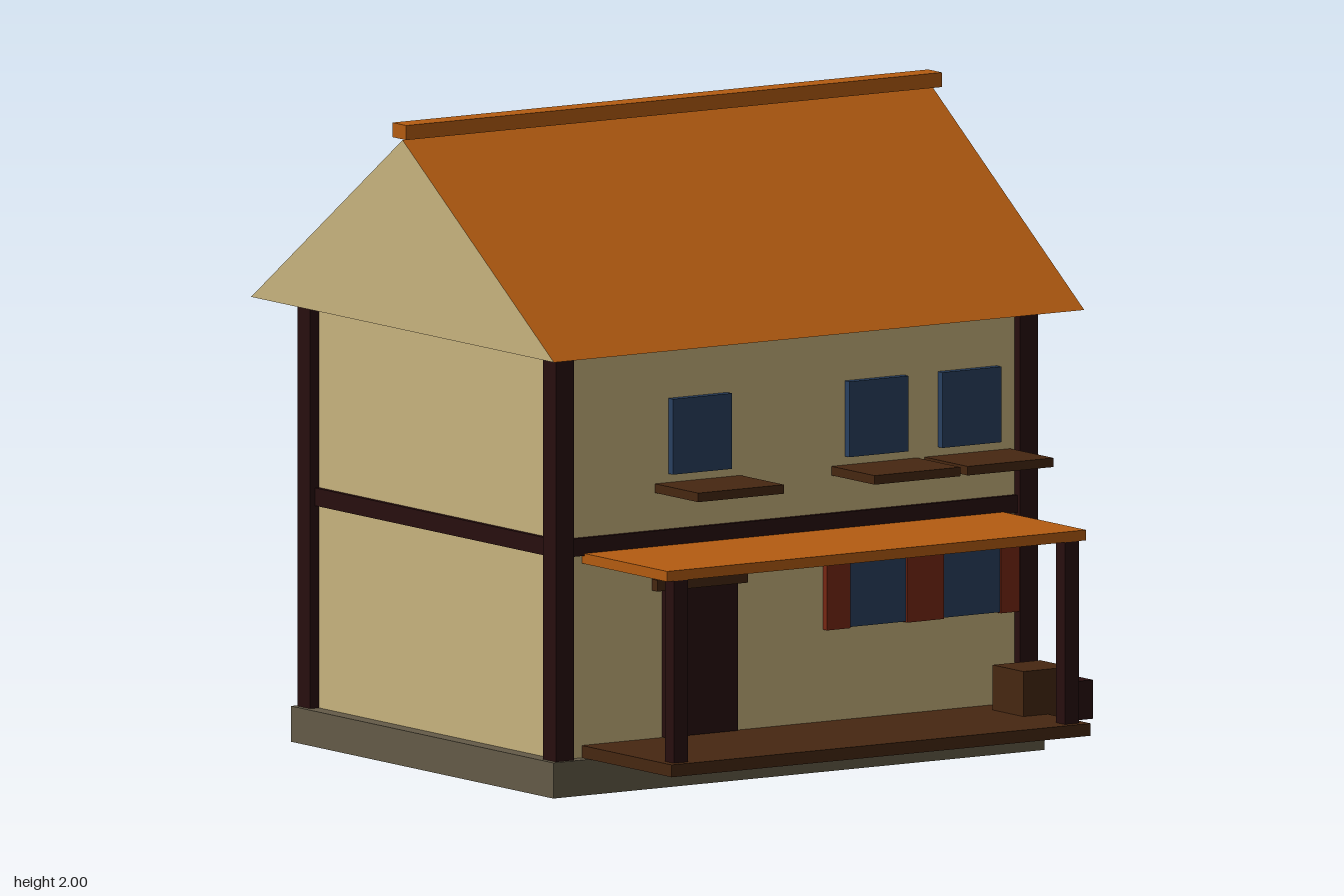
import * as THREE from 'three';

const mat = (name, color) => {
  const m = new THREE.MeshStandardMaterial({ color });
  m.name = name;
  return m;
};

export function createModel() {
  const house = new THREE.Group();
  house.name = 'house';
  const plaster = mat('plaster', 0xc8b47e);
  const tile = mat('roofTile', 0xb45c11);
  const timber = mat('darkTimber', 0x280f0f);
  const wood = mat('brownWood', 0x462711);
  const stone = mat('stone', 0x645b48);
  const glass = mat('glass', 0x294060);
  const shutterRed = mat('shutterRed', 0x782713);

  const add = (name, geometry, material) => {
    const mesh = new THREE.Mesh(geometry, material);
    mesh.name = name;
    house.add(mesh);
    return mesh;
  };
  // Box given by its limits on each axis
  const box = (name, material, [x0, x1], [y0, y1], [z0, z1]) => {
    const mesh = add(name, new THREE.BoxGeometry(x1 - x0, y1 - y0, z1 - z0), material);
    mesh.position.set((x0 + x1) / 2, (y0 + y1) / 2, (z0 + z1) / 2);
  };

  const wallFront = 0.51, wallBack = -0.84;

  // Foundation, walls and the timber band between the floors
  box('foundation', stone, [-0.905, 0.905], [0, 0.11], [-0.88, 0.55]);
  box('walls', plaster, [-0.855, 0.855], [0.11, 1.365], [wallBack, wallFront]);
  box('floorBand', timber, [-0.87, 0.87], [0.735, 0.79], [wallBack - 0.015, wallFront + 0.015]);

  // Corner posts
  for (const x of [-0.855, 0.855])
    for (const z of [-0.835, 0.505])
      box('cornerPost', timber, [x - 0.033, x + 0.033], [0.11, 1.365], [z - 0.035, z + 0.035]);

  // Gabled roof: plaster gables and soffit, tiled slopes
  const w = 0.977;
  const front = (x) => [x, 1.365, 0.66];
  const back = (x) => [x, 1.365, -0.99];
  const peak = (x) => [x, 1.95, -0.165];
  const polygons = (...polys) => {
    const pos = [];
    for (const p of polys)
      for (let i = 1; i < p.length - 1; i++) pos.push(...p[0], ...p[i], ...p[i + 1]);
    const g = new THREE.BufferGeometry();
    g.setAttribute('position', new THREE.Float32BufferAttribute(pos, 3));
    g.computeVertexNormals();
    return g;
  };
  add('roofSlopes', polygons(
    [front(-w), front(w), peak(w), peak(-w)],
    [back(w), back(-w), peak(-w), peak(w)]), tile);
  add('gablesAndSoffit', polygons(
    [front(w), back(w), peak(w)],
    [back(-w), front(-w), peak(-w)],
    [back(-w), back(w), front(w), front(-w)]), plaster);
  box('ridgeCap', tile, [-0.987, 0.987], [1.955, 2], [-0.205, -0.13]);

  // Chimney
  box('chimney', wood, [0.38, 0.575], [1.6, 1.895], [-0.425, -0.23]);
  box('chimneyCap', timber, [0.36, 0.595], [1.895, 1.92], [-0.445, -0.21]);

  // Upper windows with deep sills
  for (const x of [-0.345, 0.305, 0.648]) {
    box('upperWindow', glass, [x - 0.109, x + 0.109], [0.96, 1.193], [wallFront - 0.01, 0.535]);
    box('windowSill', wood, [x - 0.158, x + 0.158], [0.905, 0.933], [wallFront - 0.03, 0.745]);
  }

  // Lower windows with shutters
  for (const x of [0.305, 0.65]) {
    box('lowerWindow', glass, [x - 0.107, x + 0.107], [0.435, 0.667], [wallFront - 0.01, 0.53]);
    for (const s of [-1, 1]) {
      const c = x + s * 0.147;
      box('shutter', shutterRed, [c - 0.043, c + 0.043], [0.432, 0.668], [wallFront - 0.01, 0.535 + s * 0.001]);
    }
  }

  // Door
  box('door', timber, [-0.478, -0.21], [0.15, 0.605], [wallFront - 0.01, 0.53]);
  box('doorLintel', wood, [-0.515, -0.18], [0.605, 0.64], [wallFront - 0.01, 0.54]);

  // Porch
  box('porchDeck', wood, [-0.773, 0.771], [0.11, 0.148], [wallFront, 1]);
  box('porchRoof', tile, [-0.773, 0.771], [0.71, 0.742], [wallFront, 0.975]);
  for (const x of [-0.722, 0.719])
    box('porchPost', timber, [x - 0.026, x + 0.026], [0.148, 0.71], [0.927, 0.975]);

  // Crates beside the porch
  box('largeCrate', wood, [0.68, 0.855], [0.115, 0.287], [0.6, 0.767]);
  box('smallCrate', timber, [0.85, 0.975], [0.11, 0.23], [0.587, 0.71]);

  return house;
}
